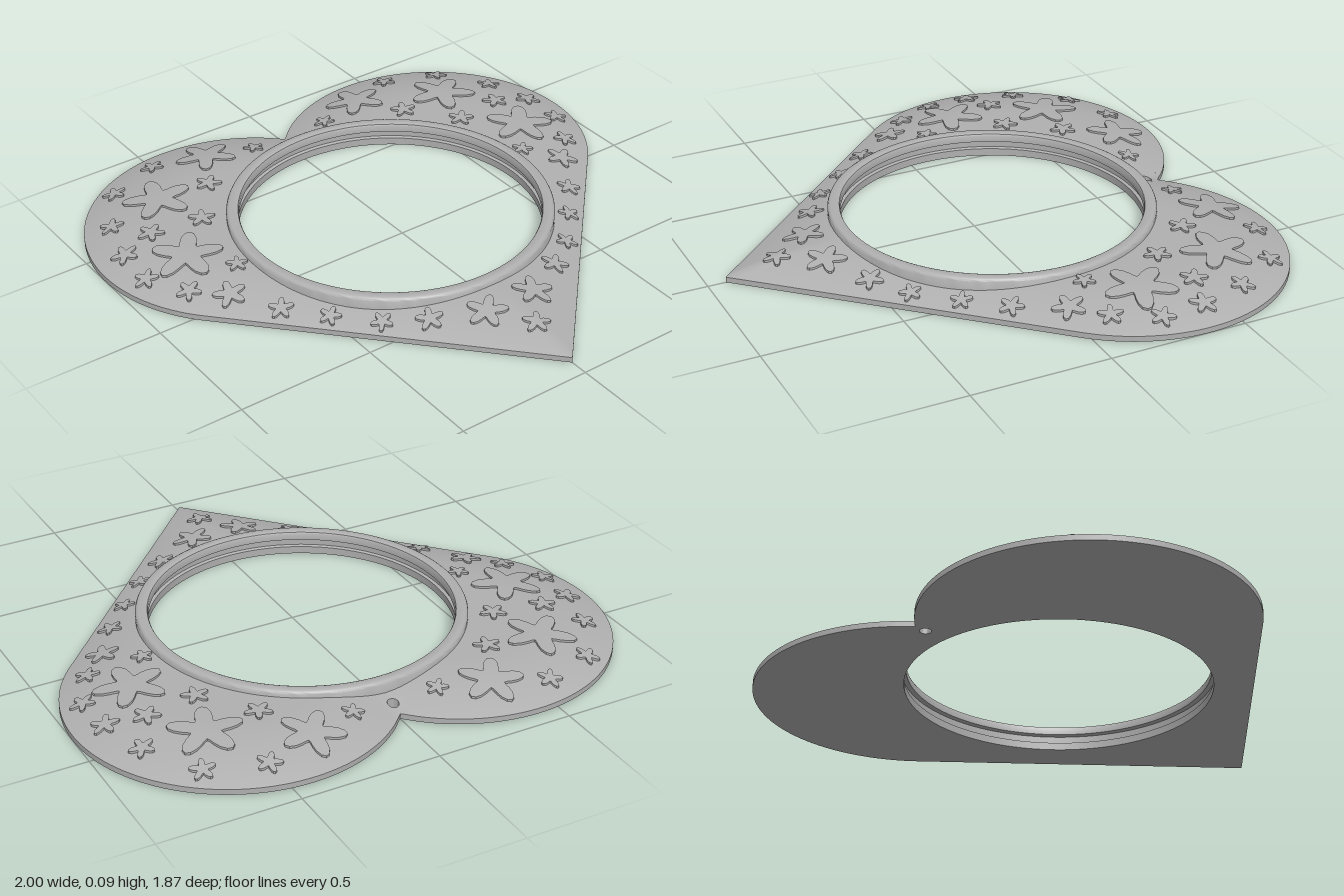
import * as THREE from 'three';
import { toCreasedNormals } from 'three/addons/utils/BufferGeometryUtils.js';

const CZ = -0.07;                       // centre of the round opening
const LOBE = { x: 0.425, z: -0.365, r: 0.575 };
const TIP = 0.935, EDGE = 0.02, RISE = 0.05, SLOPE = 0.3;
const KEY = { z: -0.705, r: 0.02 };     // hanging hole
const NOTCH = LOBE.z - Math.sqrt(LOBE.r ** 2 - LOBE.x ** 2);
// angle of the straight sides, tangent to the lobes
const SIDE = Math.atan(LOBE.x / (TIP - LOBE.z)) +
  Math.asin(LOBE.r / Math.hypot(LOBE.x, TIP - LOBE.z));

// distance inwards from the heart outline
function inset(px, z) {
  const x = Math.abs(px);
  const line = (TIP - z) * Math.sin(SIDE) - x * Math.cos(SIDE);
  const a = x - LOBE.x, b = z - LOBE.z, angle = Math.atan2(b, a);
  const start = Math.atan2(NOTCH - LOBE.z, -LOBE.x);
  const arc = angle >= start && angle <= SIDE
    ? LOBE.r - Math.hypot(a, b) : Math.hypot(x, z - NOTCH);
  return Math.min(line, arc);
}

// height of the domed face
function dome(x, z) {
  const k = 1 - Math.min(1, Math.max(0, inset(x, z)) / SLOPE);
  return EDGE + RISE * (1 - k * k);
}

const polar = (t, r) => [r * Math.sin(t), CZ + r * Math.cos(t)];

// outline radius along a ray from the opening's centre
function outlineRadius(t) {
  let lo = 0.5, hi = 1.3;
  for (let i = 0; i < 40; i++) {
    const m = (lo + hi) / 2;
    if (inset(...polar(t, m)) > 0) lo = m; else hi = m;
  }
  return lo;
}

// surface through rows of [x, y, z] points
function grid(rows, crease = 0.6) {
  const n = rows[0].length, index = [];
  for (let i = 0; i < rows.length - 1; i++) {
    for (let j = 0; j < n - 1; j++) {
      const a = i * n + j, b = a + n;
      index.push(a, b, a + 1, b, b + 1, a + 1);
    }
  }
  const g = new THREE.BufferGeometry();
  g.setAttribute('position', new THREE.Float32BufferAttribute(rows.flat(2), 3));
  g.setIndex(index);
  return toCreasedNormals(g, crease);
}

// five-petalled raised flower that follows the dome
function flower(cx, cz, size, turn) {
  const N = 50, rows = [];
  const loop = (s, lift) => Array.from({ length: N + 1 }, (_, j) => {
    const t = (j / N) * Math.PI * 2;
    const r = s * size * (0.7 + 0.3 * Math.cos(5 * t));
    const x = cx + r * Math.sin(t + turn), z = cz + r * Math.cos(t + turn);
    return [x, dome(x, z) + lift, z];
  });
  for (const s of [0, 0.35, 0.7, 1]) rows.push(loop(s, 0.008));
  rows.push(loop(1, -0.003));
  return grid(rows);
}

export function createModel() {
  const model = new THREE.Group();
  const grey = new THREE.MeshStandardMaterial({ color: 0xb0b0b0, side: THREE.DoubleSide });
  grey.name = 'grey';
  const add = (name, geometry, parent = model) => {
    const mesh = new THREE.Mesh(geometry, grey);
    mesh.name = name;
    parent.add(mesh);
    return mesh;
  };

  // domed heart face, open at a narrow strip by the notch
  const N = 240, M = 16, GAP = 0.06, INNER = 0.57;
  const angles = Array.from({ length: N + 1 }, (_, j) =>
    (Math.PI - GAP) * (2 * j / N - 1));
  const radii = angles.map(outlineRadius);
  const flat = Array.from({ length: M + 1 }, (_, i) => {
    const s = 1 - (1 - i / M) ** 1.4;
    return angles.map((t, j) => polar(t, INNER + (radii[j] - INNER) * s));
  });
  add('heartFace', grid(flat.map(row => row.map(([x, z]) => [x, dome(x, z), z]))));

  // strip by the notch with the hanging hole
  const strip = [...flat.map(r => r[N]), [0, NOTCH],
    ...flat.map(r => r[0]).reverse(), [0, CZ - INNER]];
  const stripShape = new THREE.Shape(strip.map(([x, z]) => new THREE.Vector2(x, -z)));
  const keyTop = new THREE.Path();
  keyTop.absarc(0, -KEY.z, KEY.r, 0, Math.PI * 2, true);
  stripShape.holes.push(keyTop);
  const stripGeo = new THREE.ShapeGeometry(stripShape, 16).rotateX(-Math.PI / 2);
  const pos = stripGeo.attributes.position;
  for (let i = 0; i < pos.count; i++) pos.setY(i, dome(pos.getX(i), pos.getZ(i)));
  stripGeo.computeVertexNormals();
  add('notchFace', stripGeo);

  // wall of the hanging hole
  const circle = Array.from({ length: 33 }, (_, j) => {
    const t = (j / 32) * Math.PI * 2;
    return [KEY.r * Math.sin(t), KEY.z + KEY.r * Math.cos(t)];
  });
  add('hangingHole', grid([
    circle.map(([x, z]) => [x, 0, z]),
    circle.map(([x, z]) => [x, dome(x, z), z]),
  ]));

  // low outer wall
  const outline = [...flat[M], [0, NOTCH], flat[M][0]];
  add('outerWall', grid([EDGE, 0].map(y => outline.map(([x, z]) => [x, y, z]))));

  // flat underside
  const base = new THREE.Shape(outline.slice(0, -1).map(([x, z]) => new THREE.Vector2(x, z)));
  for (const [z, r] of [[CZ, 0.545], [KEY.z, KEY.r]]) {
    const hole = new THREE.Path();
    hole.absarc(0, z, r, 0, Math.PI * 2, true);
    base.holes.push(hole);
  }
  add('underside', new THREE.ShapeGeometry(base, 64).rotateX(Math.PI / 2));

  // raised rim with a groove inside the opening
  const rim = [
    [0.585, 0.02], [0.585, 0.083], [0.582, 0.089], [0.575, 0.093], [0.55, 0.093],
    [0.543, 0.09], [0.54, 0.084], [0.54, 0.06], [0.556, 0.056], [0.556, 0.032],
    [0.545, 0.028], [0.545, 0],
  ].map(p => new THREE.Vector2(...p));
  const ring = add('rim', toCreasedNormals(new THREE.LatheGeometry(rim, 128), 0.6));
  ring.position.z = CZ;

  // raised flowers, mirrored left and right: x, z, size
  const flowers = new THREE.Group();
  flowers.name = 'flowers';
  model.add(flowers);
  const spots = [
    [0.74, -0.25, 0.13], [0.64, -0.61, 0.13], [0.34, -0.77, 0.115],
    [0.1, 0.61, 0.075], [0.27, 0.52, 0.05], [0.4, 0.43, 0.04], [0.52, 0.3, 0.04],
    [0.63, 0.17, 0.045], [0.73, 0.01, 0.06], [0.83, -0.09, 0.045],
    [0.91, -0.24, 0.045], [0.63, -0.1, 0.04], [0.9, -0.4, 0.05], [0.77, -0.44, 0.05],
    [0.85, -0.58, 0.045], [0.73, -0.77, 0.045], [0.53, -0.84, 0.045],
    [0.44, -0.59, 0.05], [0.58, -0.41, 0.05], [0.16, -0.72, 0.04],
  ];
  spots.forEach(([x, z, size], i) => {
    for (const s of [1, -1]) add('flower', flower(s * x, z, size, s * i * 0.9), flowers);
  });
  add('flower', flower(0, 0.75, 0.05, 0), flowers);

  return model;
}
